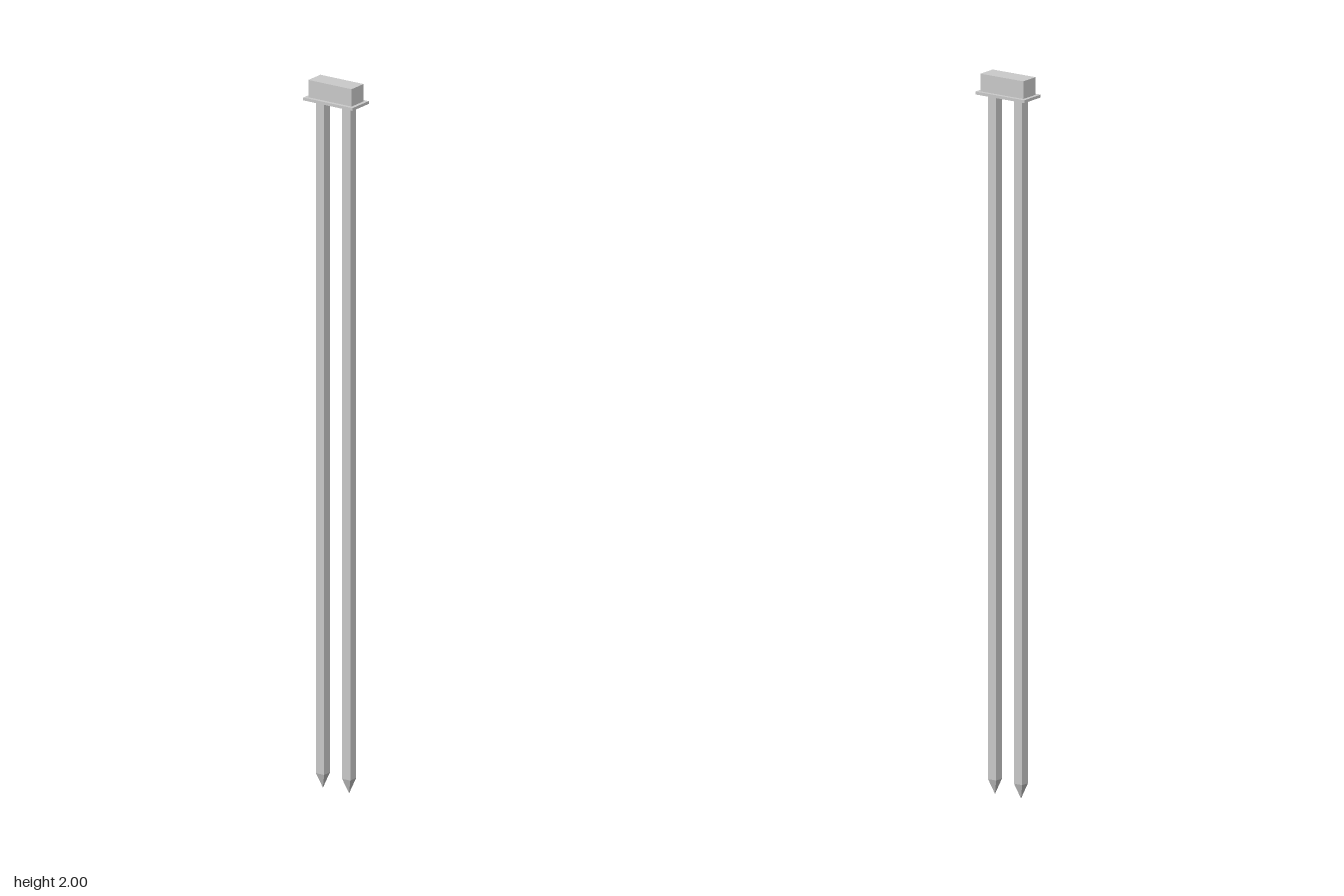
import * as THREE from 'three';

export function createModel() {
  const group = new THREE.Group();
  const material = new THREE.MeshStandardMaterial({ color: 0xcccccc, flatShading: true });

  const add = (name, geometry, y, z = 0) => {
    const mesh = new THREE.Mesh(geometry, material);
    mesh.name = name;
    mesh.position.set(0, y, z);
    group.add(mesh);
  };

  // Cap block sitting on a thin, wider flange
  const flangeBottom = 1.943, flangeTop = 1.951;
  add('cap', new THREE.BoxGeometry(0.056, 2 - flangeTop, 0.142), (2 + flangeTop) / 2);
  add('flange', new THREE.BoxGeometry(0.076, flangeTop - flangeBottom, 0.162), (flangeTop + flangeBottom) / 2);

  // Two square prongs with pyramid points
  const width = 0.027, tipHeight = 0.042;
  const shaftLength = flangeBottom - tipHeight;
  for (const [side, z] of [['front', 0.043], ['back', -0.043]]) {
    add(side + 'Prong', new THREE.BoxGeometry(width, shaftLength, width), tipHeight + shaftLength / 2, z);
    const tip = new THREE.ConeGeometry(width / Math.SQRT2, tipHeight, 4, 1, true);
    tip.rotateY(Math.PI / 4).rotateX(Math.PI);
    add(side + 'ProngTip', tip, tipHeight / 2, z);
  }
  return group;
}
